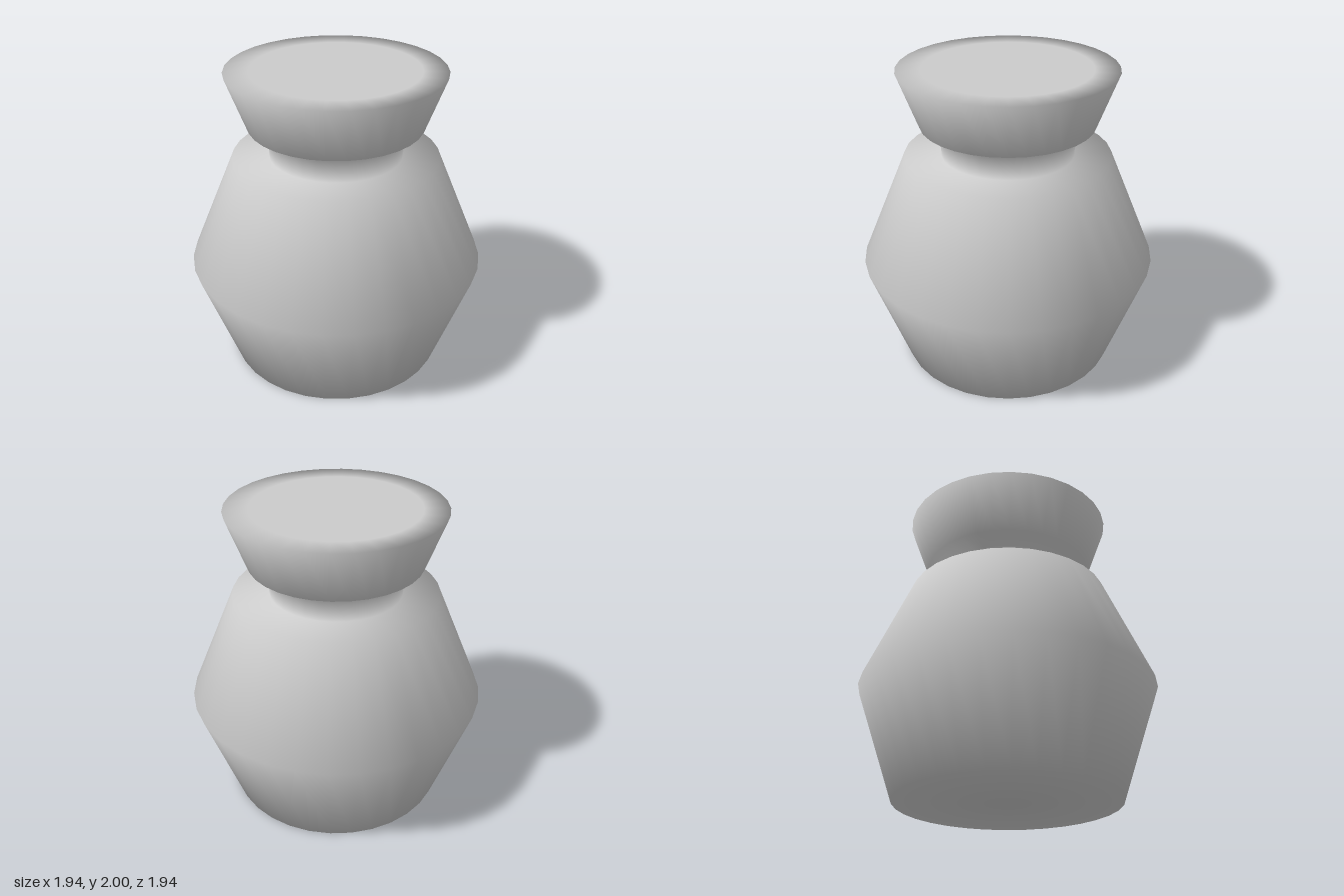
import * as THREE from 'three';

// Turned, smooth-shaded jar: faceted belly, narrow neck and flared stopper
export function createModel() {
  const group = new THREE.Group();
  group.name = 'stopperedJar';

  // Radius and height, from the underside up to the middle of the lid
  const profile = [
    [0, 0], [0.72, 0],                          // base
    [0.97, 0.72], [0.665, 1.44],                // belly and shoulder
    [0.43, 1.44], [0.43, 1.61],                 // neck
    [0.56, 1.645], [0.69, 2],                   // flared stopper
    [0.53, 2], [0, 2],                          // flat lid
  ].map(([r, y]) => new THREE.Vector2(r, y));

  const jar = new THREE.Mesh(
    new THREE.LatheGeometry(profile, 32),
    new THREE.MeshStandardMaterial({ color: 0xcccccc })
  );
  jar.name = 'jar';
  group.add(jar);
  return group;
}
